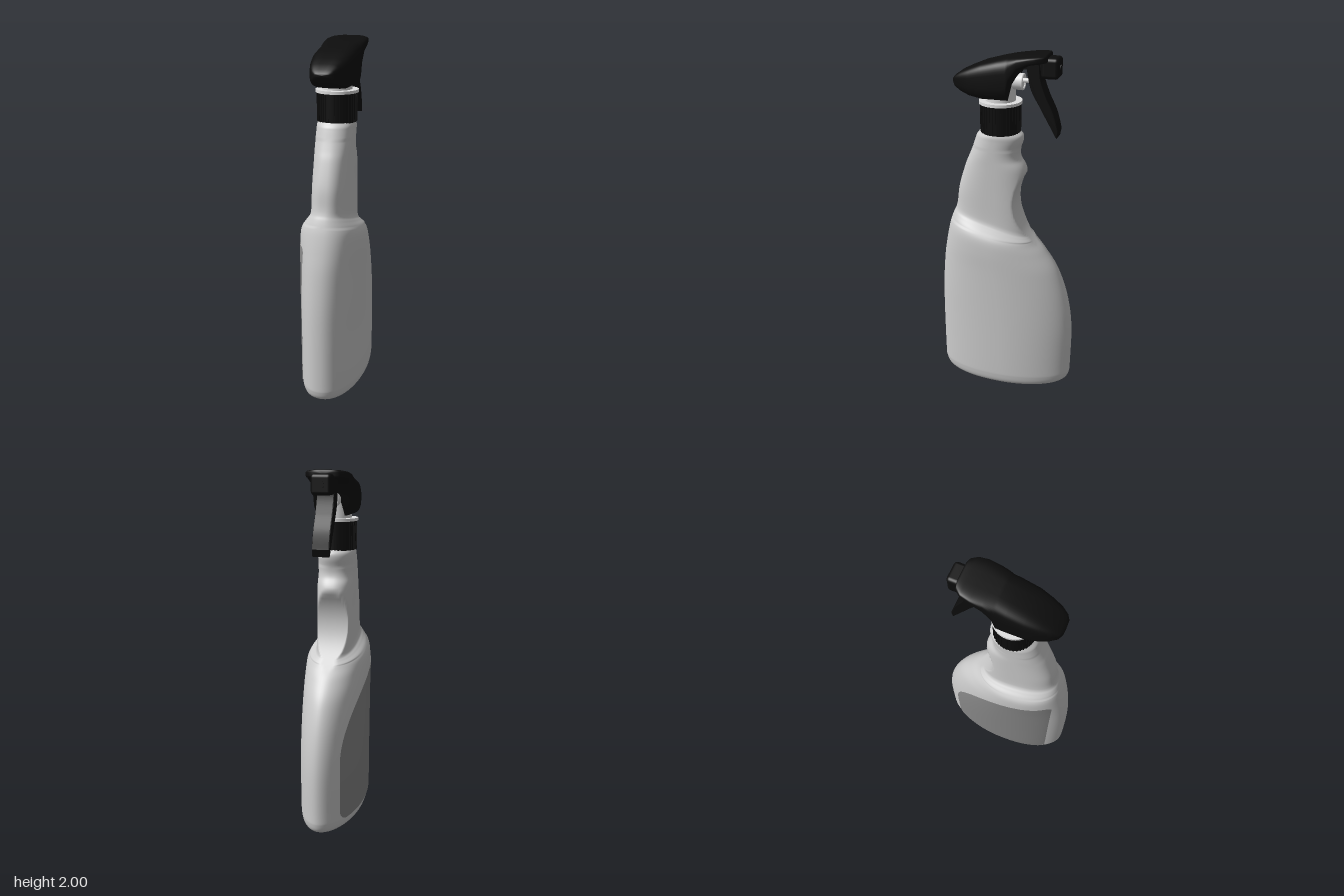
import * as THREE from 'three';
import { RoundedBoxGeometry } from 'three/addons/geometries/RoundedBoxGeometry.js';

const flat = (name, color, side = THREE.FrontSide) => {
  const m = new THREE.MeshStandardMaterial({ color, side });
  m.name = name;
  return m;
};

// Skin a list of closed rings (arrays of [x, y, z]) with smooth normals
function loft(rings) {
  const n = rings[0].length, index = [];
  for (let i = 0; i < rings.length - 1; i++) {
    for (let j = 0; j < n; j++) {
      const a = i * n + j, b = i * n + (j + 1) % n;
      index.push(a, a + n, b, b, a + n, b + n);
    }
  }
  const g = new THREE.BufferGeometry();
  g.setAttribute('position', new THREE.Float32BufferAttribute(rings.flat(2), 3));
  g.setIndex(index);
  g.computeVertexNormals();
  return g;
}

const power = (v, n) => Math.sign(v) * Math.abs(v) ** (2 / n);

// Bottle sections: rear z, rear y, front z, front y, half width, roundness
const SECTIONS = [
  [0.001, 0.012, -0.001, 0.012, 0.001, 2.05],
  [0.27, 0.012, -0.27, 0.012, 0.105, 2.05],
  [0.30, 0.001, -0.30, 0.001, 0.12, 2.05],
  [0.345, 0.001, -0.345, 0.001, 0.148, 2.05],
  [0.38, 0.02, -0.38, 0.02, 0.167, 2.05],
  [0.397, 0.06, -0.397, 0.06, 0.176, 2.05],
  [0.40, 0.12, -0.40, 0.12, 0.178, 2.05],
  [0.40, 0.4, -0.40, 0.38, 0.178, 2.05],
  [0.395, 0.6, -0.37, 0.58, 0.178, 2.05],
  [0.38, 0.78, -0.31, 0.75, 0.178, 2.05],
  [0.36, 0.9, -0.235, 0.86, 0.178, 2.1],
  [0.34, 0.99, -0.185, 0.915, 0.172, 2.2],
  [0.325, 1.04, -0.165, 0.94, 0.155, 2.3],
  [0.312, 1.075, -0.15, 0.957, 0.13, 2.4],
  [0.30, 1.10, -0.14, 0.975, 0.112, 2.5],
  [0.29, 1.14, -0.135, 1.02, 0.106, 2.6],
  [0.275, 1.24, -0.125, 1.18, 0.105, 2.6],
  [0.235, 1.37, -0.112, 1.35, 0.105, 2.5],
  [0.21, 1.43, -0.077, 1.42, 0.105, 2.4],
  [0.19, 1.48, -0.075, 1.47, 0.105, 2.3],
  [0.173, 1.53, -0.09, 1.52, 0.105, 2.2],
  [0.165, 1.55, -0.09, 1.55, 0.105, 2.1],
  [0.148, 1.57, -0.072, 1.57, 0.1, 2],
];
const rearCurve = new THREE.CatmullRomCurve3(
  SECTIONS.map(s => new THREE.Vector3(s[0], s[1], s[4])), false, 'catmullrom');
const frontCurve = new THREE.CatmullRomCurve3(
  SECTIONS.map(s => new THREE.Vector3(s[2], s[3], s[5])), false, 'catmullrom');

function section(t) {
  const p = rearCurve.getPoint(t), q = frontCurve.getPoint(t);
  return {
    mid: (p.x + q.x) / 2, half: (p.x - q.x) / 2, w: p.z, n: q.z,
    yAt: z => THREE.MathUtils.lerp(q.y, p.y, (z - q.x) / (p.x - q.x)),
  };
}
// The pouring side is a little more pointed than the rear
const roundness = (s, sign) => (s.n < 2.3 ? s.n + 0.14 * sign : s.n);

function bottleGeometry() {
  const rings = [], steps = (SECTIONS.length - 1) * 6, sides = 72;
  for (let i = 0; i <= steps; i++) {
    const s = section(i / steps), ring = [];
    for (let j = 0; j < sides; j++) {
      const a = j / sides * Math.PI * 2, n = roundness(s, Math.sign(Math.sin(a)));
      let z = s.mid + s.half * power(Math.sin(a), n);
      const y = s.yAt(z);
      // Hollowed finger grip
      if (y > 0.9) z = Math.max(z, -0.053 - 2 * (y - 1.17) ** 2);
      ring.push([s.w * power(Math.cos(a), n), y, z]);
    }
    rings.push(ring);
  }
  return loft(rings);
}

// Half width of the bottle at a height and depth
function bottleHalfWidth(y, z) {
  let lo = 5 / 22, hi = 14 / 22;
  for (let k = 0; k < 24; k++) {
    const t = (lo + hi) / 2;
    if (section(t).yAt(z) < y) lo = t; else hi = t;
  }
  const s = section(lo), u = Math.min(1, Math.abs(z - s.mid) / s.half);
  const n = roundness(s, Math.sign(z - s.mid));
  return s.w * (1 - u ** n) ** (1 / n);
}

// Curved label following the side of the bottle
function labelGeometry() {
  const g = new THREE.PlaneGeometry(1, 1, 32, 24), p = g.attributes.position;
  const corner = (d, r) => (d >= r ? 0 : r - Math.sqrt(r * r - (r - d) ** 2));
  for (let i = 0; i < p.count; i++) {
    const u = (1 - Math.cos((p.getX(i) + 0.5) * Math.PI)) / 2;
    const z = -0.31 + 0.63 * u;
    const bottom = 0.065 + corner(0.63 * u, 0.06) + corner(0.63 * (1 - u), 0.05);
    const top = 0.4 + 0.515 * Math.sqrt(Math.max(0, 1 - (1 - u) ** 1.5)) - corner(0.63 * (1 - u), 0.04);
    const y = THREE.MathUtils.lerp(bottom, top, p.getY(i) + 0.5);
    p.setXYZ(i, -bottleHalfWidth(y, z) - 0.004, y, z);
  }
  g.computeVertexNormals();
  return g;
}

// Sprayer shroud sections: z, underside y, top y, half width
function shroudGeometry() {
  const rows = [
    [0.292, 1.837, 1.837, 0.001], [0.29, 1.825, 1.848, 0.04], [0.275, 1.802, 1.865, 0.062],
    [0.24, 1.782, 1.89, 0.083], [0.19, 1.762, 1.913, 0.1], [0.12, 1.75, 1.942, 0.114],
    [0.03, 1.75, 1.967, 0.118], [-0.02, 1.75, 1.979, 0.118], [-0.035, 1.83, 1.981, 0.118],
    [-0.08, 1.91, 1.987, 0.118], [-0.14, 1.945, 1.994, 0.118], [-0.19, 1.953, 1.999, 0.108],
    [-0.22, 1.957, 2, 0.085], [-0.229, 1.96, 1.997, 0.06], [-0.229, 1.978, 1.978, 0.001],
  ];
  return loft(rows.map(([z, b, t, w]) => Array.from({ length: 56 }, (_, j) => {
    const a = j / 56 * Math.PI * 2;
    return [w * power(Math.cos(a), 4), (b + t) / 2 + (t - b) / 2 * power(Math.sin(a), 4), z];
  })));
}

// Curved trigger lever, extruded across the width
function triggerGeometry() {
  const v = (z, y) => new THREE.Vector2(z, y);
  const shape = new THREE.Shape();
  shape.moveTo(-0.115, 1.95);
  shape.splineThru([v(-0.142, 1.82), v(-0.193, 1.725), v(-0.25, 1.625), v(-0.283, 1.567)]);
  shape.lineTo(-0.287, 1.6);
  shape.splineThru([v(-0.262, 1.69), v(-0.22, 1.778), v(-0.19, 1.862), v(-0.18, 1.95)]);
  const g = new THREE.ExtrudeGeometry(shape, {
    depth: 0.084, bevelSize: 0.004, bevelThickness: 0.006, bevelSegments: 2, curveSegments: 16,
  });
  return g.translate(0, 0, -0.042).rotateY(-Math.PI / 2);
}

export function createModel() {
  const group = new THREE.Group();
  const shell = flat('bottle plastic', 0xcccccc);
  const paper = flat('label grey', 0x888888, THREE.DoubleSide);
  const black = flat('black plastic', 0x0d0d0d);
  const white = flat('white plastic', 0xe0e0e0);
  const add = (name, geometry, material, x = 0, y = 0, z = 0) => {
    const m = new THREE.Mesh(geometry, material);
    m.name = name;
    m.position.set(x, y, z);
    group.add(m);
    return m;
  };
  const axis = 0.037;

  add('bottle', bottleGeometry(), shell);
  add('label', labelGeometry(), paper);

  // Ribbed screw collar
  add('collar', new THREE.CylinderGeometry(0.108, 0.108, 0.16, 48), black, 0, 1.645, axis);
  for (let i = 0; i < 40; i++) {
    const a = i / 40 * Math.PI * 2;
    const rib = add('collarRib', new THREE.BoxGeometry(0.008, 0.15, 0.006), black,
      0.108 * Math.sin(a), 1.642, axis + 0.108 * Math.cos(a));
    rib.rotation.y = a;
  }

  // Pump body
  add('collarRing', new THREE.CylinderGeometry(0.117, 0.117, 0.016, 48), white, 0, 1.73, axis);
  add('pumpNeck', new THREE.CylinderGeometry(0.082, 0.082, 0.16, 36), white, 0, 1.81, axis);
  add('pumpCylinder', new THREE.CylinderGeometry(0.044, 0.044, 0.1, 28).rotateX(Math.PI / 2),
    white, 0, 1.843, -0.037);
  add('pumpRim', new THREE.TorusGeometry(0.038, 0.007, 8, 28), white, 0, 1.843, -0.087);
  add('pistonRod', new THREE.CylinderGeometry(0.012, 0.012, 0.1, 16).rotateX(Math.PI / 2),
    white, 0, 1.85, -0.12);

  // Sprayer head
  add('shroud', shroudGeometry(), black);
  add('nozzleStem', new THREE.BoxGeometry(0.07, 0.05, 0.13), black, 0, 1.94, -0.14);
  add('nozzle', new RoundedBoxGeometry(0.112, 0.108, 0.095, 4, 0.02), black, 0, 1.928, -0.239);
  add('nozzleTip', new THREE.CylinderGeometry(0.02, 0.02, 0.006, 20).rotateX(Math.PI / 2),
    black, 0, 1.928, -0.287);
  add('trigger', triggerGeometry(), black);
  return group;
}
